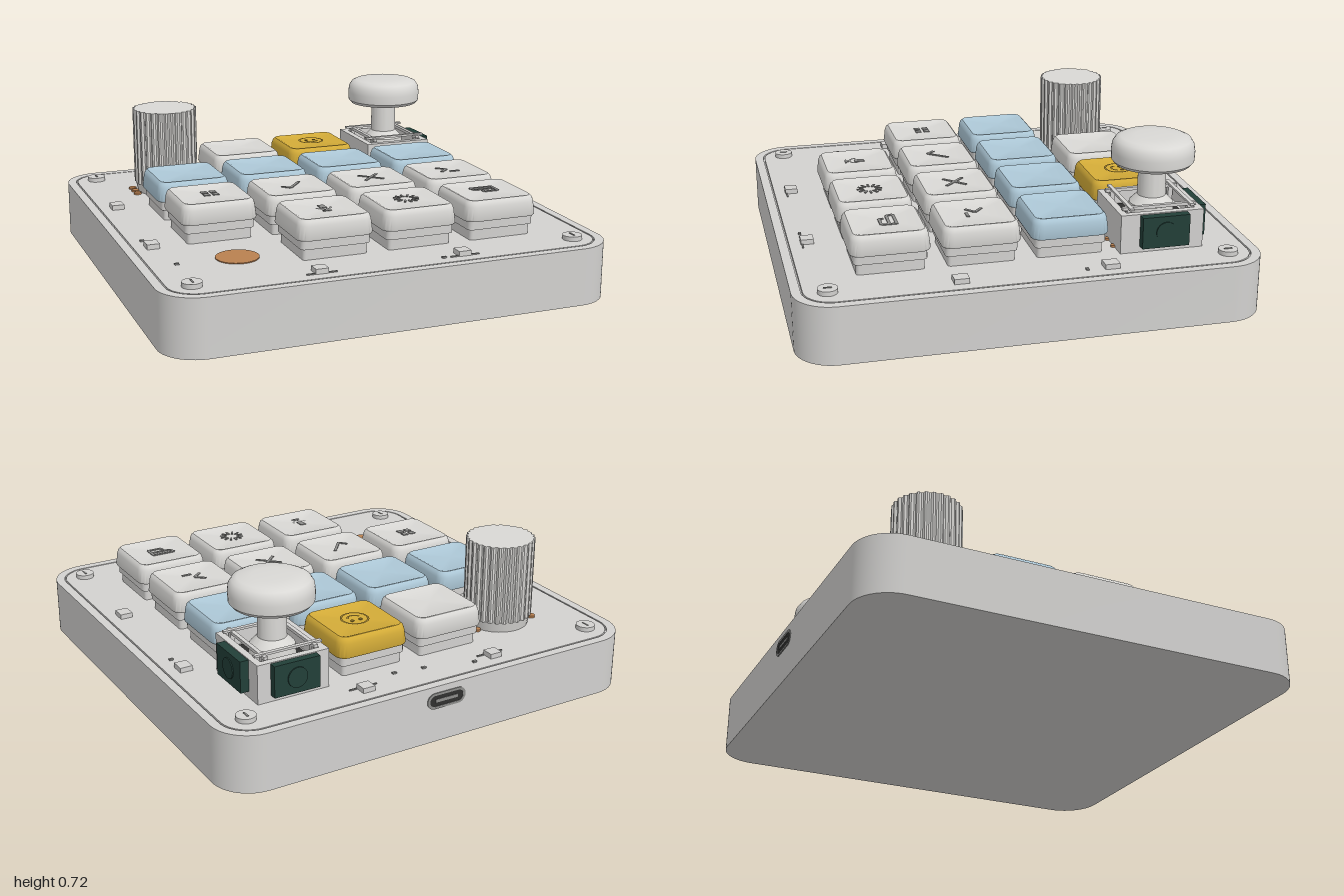
import * as THREE from 'three';
import { toCreasedNormals } from 'three/addons/utils/BufferGeometryUtils.js';

const mat = (name, color) => Object.assign(new THREE.MeshStandardMaterial({ color }), { name });

// Loft through rounded squares; each loop is [half size, corner radius, y]
function loft(loops, seg = 8) {
  const pos = [], idx = [], n = 4 * (seg + 1);
  for (const [h, r, y] of loops) {
    for (let c = 0; c < 4; c++) {
      const sx = c === 0 || c === 3 ? 1 : -1, sz = c < 2 ? 1 : -1;
      for (let i = 0; i <= seg; i++) {
        const a = (c + i / seg) * Math.PI / 2;
        pos.push(sx * (h - r) + r * Math.cos(a), y, sz * (h - r) + r * Math.sin(a));
      }
    }
  }
  const last = (loops.length - 1) * n, bottom = pos.length / 3, top = bottom + 1;
  pos.push(0, loops[0][2], 0, 0, loops[loops.length - 1][2], 0);
  for (let i = 0; i < n; i++) {
    const j = (i + 1) % n;
    for (let k = 0; k < last; k += n) idx.push(k + i, k + n + i, k + j, k + j, k + n + i, k + n + j);
    idx.push(bottom, i, j, top, last + j, last + i);
  }
  const g = new THREE.BufferGeometry();
  g.setAttribute('position', new THREE.Float32BufferAttribute(pos, 3));
  g.setIndex(idx);
  return toCreasedNormals(g, 0.6);
}

// Stadium outline for the port
function stadium(C, w, h) {
  const s = new C(), r = h / 2, d = w / 2 - r;
  s.absarc(d, 0, r, -Math.PI / 2, Math.PI / 2, false);
  s.absarc(-d, 0, r, Math.PI / 2, Math.PI * 1.5, false);
  s.closePath();
  return s;
}

export function createModel() {
  const model = new THREE.Group();
  model.name = 'macroPad';
  const M = {
    shell: mat('shell grey', 0xd2d1cf),
    cap: mat('keycap white', 0xd9d8d5),
    blue: mat('pale blue', 0xadc8d7),
    yellow: mat('golden yellow', 0xd4ac38),
    copper: mat('copper', 0xb98050),
    green: mat('dark green', 0x223f38),
    icon: mat('icon grey', 0x8c8c8a),
    gold: mat('icon gold', 0x94782a),
    dark: mat('port black', 0x30302f),
  };
  const add = (name, geo, m, x = 0, y = 0, z = 0, parent = model) => {
    const mesh = new THREE.Mesh(geo, m);
    mesh.name = name;
    mesh.position.set(x, y, z);
    parent.add(mesh);
    return mesh;
  };
  const group = (name, x, y, z) => {
    const g = new THREE.Group();
    g.name = name;
    g.position.set(x, y, z);
    model.add(g);
    return g;
  };
  const box = (name, w, h, d, m, x, y, z, p) => add(name, new THREE.BoxGeometry(w, h, d), m, x, y, z, p);
  const cyl = (name, r, h, m, x, y, z, p, r2 = r) => add(name, new THREE.CylinderGeometry(r, r2, h, 32), m, x, y, z, p);

  // Case with a fine groove around the top plate
  add('case', loft([[1, 0.17, 0], [1, 0.17, 0.255], [0.96, 0.13, 0.255], [0.96, 0.13, 0.24]], 14), M.shell);
  add('topPlate', loft([[0.953, 0.123, 0.235], [0.953, 0.123, 0.255]], 14), M.shell);

  // Corner screws
  for (const x of [-0.855, 0.855]) for (const z of [-0.855, 0.855]) {
    cyl('screw', 0.042, 0.02, M.shell, x, 0.265, z);
    box('screwSlot', 0.008, 0.004, 0.036, M.icon, x, 0.2755, z);
  }

  // Indicator lights around the border
  for (const s of [-1, 1]) for (const t of [-0.325, 0.315]) {
    box('light', 0.056, 0.022, 0.056, M.shell, t, 0.266, s * 0.875);
    box('sideLight', 0.056, 0.022, 0.064, M.shell, s * 0.876, 0.266, t);
    for (const e of [-1, 1]) box('lightLead', 0.036, 0.006, 0.007, M.icon, t + e * 0.048, 0.257, s * 0.875 + 0.022);
  }
  for (const [x, z] of [[0.0, -0.83], [0.135, -0.81], [-0.22, -0.89], [-0.84, 0.58], [-0.895, 0.22], [0.885, -0.22], [0.22, 0.895]])
    box('tinyComponent', 0.018, 0.008, 0.012, M.icon, x, 0.258, z);

  // Keys
  const capGeo = loft([[0.168, 0.045, 0.343], [0.171, 0.047, 0.35], [0.165, 0.045, 0.405], [0.16, 0.043, 0.422],
    [0.15, 0.036, 0.432], [0.143, 0.032, 0.432], [0.135, 0.03, 0.429]]);
  const flangeGeo = loft([[0.155, 0.02, 0.303], [0.155, 0.02, 0.345]], 3);
  const switchGeo = loft([[0.144, 0.015, 0.25], [0.144, 0.015, 0.305]], 3);
  const cols = [-0.578, -0.195, 0.19, 0.575], rows = [-0.58, -0.195, 0.19, 0.575];
  const addKey = (c, r, m) => {
    const g = group('key', cols[c], 0, rows[r]);
    add('keycap', capGeo, m, 0, 0, 0, g);
    add('switchTop', flangeGeo, M.shell, 0, 0, 0, g);
    add('switchBody', switchGeo, M.shell, 0, 0, 0, g);
    return g;
  };
  // Thin icon stroke from (x1, z1) to (x2, z2)
  const stroke = (g, x1, z1, x2, z2, w = 0.013) => {
    const dx = x2 - x1, dz = z2 - z1;
    const b = box('iconStroke', Math.hypot(dx, dz), 0.005, w, M.icon, (x1 + x2) / 2, 0.43, (z1 + z2) / 2, g);
    b.rotation.y = -Math.atan2(dz, dx);
  };
  const strokes = list => g => list.forEach(s => stroke(g, ...s));
  const arc = (g, r, tube, a0, len, m) => {
    const a = add('iconArc', new THREE.RingGeometry(r - tube, r + tube, 32, 1, a0, len), m, 0, 0.4315, 0, g);
    a.rotation.x = -Math.PI / 2;
  };

  const icons = {
    '0,2': g => {
      for (const x of [-0.02, 0.02]) for (const z of [-0.02, 0.02])
        box('iconSquare', 0.028, 0.005, 0.028, M.icon, x, 0.43, z, g);
    },
    '1,2': strokes([[-0.05, 0.008, -0.02, 0.042], [-0.02, 0.042, 0.05, -0.045]]),
    '2,2': strokes([[-0.045, -0.045, 0.045, 0.045], [-0.045, 0.045, 0.045, -0.045]]),
    '3,2': strokes([[-0.04, -0.04, 0, -0.005], [0, -0.005, -0.04, 0.03], [0.0, 0.035, 0.045, 0.035]]),
    '1,3': g => {
      stroke(g, 0, -0.035, 0, 0.01, 0.028);
      arc(g, 0.032, 0.005, Math.PI, Math.PI, M.icon);
      strokes([[0, 0.03, 0, 0.05], [-0.02, 0.05, 0.02, 0.05, 0.008]])(g);
    },
    '2,3': g => {
      for (let i = 0; i < 12; i++) {
        const c = Math.cos(i * Math.PI / 6), s = Math.sin(i * Math.PI / 6);
        stroke(g, 0.028 * c, 0.028 * s, 0.056 * c, 0.056 * s, 0.009);
      }
    },
    '3,3': strokes([[-0.055, -0.045, 0.055, -0.045], [-0.055, -0.045, -0.045, -0.015], [-0.045, -0.015, 0.05, -0.015],
      [0.05, -0.045, 0.05, 0.02], [-0.015, 0.02, 0.05, 0.02], [-0.015, 0.0, -0.015, 0.02]]),
  };
  for (let r = 0; r < 4; r++) for (let c = 0; c < 4; c++) {
    if ((r === 0 && (c === 0 || c === 3)) || (r === 3 && c === 0)) continue;
    const g = addKey(c, r, r === 1 ? M.blue : r === 0 && c === 2 ? M.yellow : M.cap);
    icons[`${c},${r}`]?.(g);
    if (r === 0 && c === 2) { // smiling face
      arc(g, 0.058, 0.005, 0, Math.PI * 2, M.gold);
      arc(g, 0.03, 0.005, Math.PI * 1.1, Math.PI * 0.8, M.gold);
      for (const x of [-0.02, 0.02]) cyl('iconEye', 0.008, 0.005, M.gold, x, 0.43, -0.015, g);
    }
  }

  // Touch pad
  cyl('touchPad', 0.093, 0.006, M.copper, -0.578, 0.256, 0.575);

  // Fluted knob
  const knob = group('knob', -0.568, 0, -0.58);
  const flutes = new THREE.Shape(), teeth = 28;
  for (let i = 0; i < teeth * 4; i++) {
    const a = i / (teeth * 4) * Math.PI * 2, r = i % 4 < 2 ? 0.153 : 0.144;
    flutes[i ? 'lineTo' : 'moveTo'](r * Math.cos(a), r * Math.sin(a));
  }
  flutes.closePath();
  add('knobGrip', new THREE.ExtrudeGeometry(flutes, { depth: 0.36, bevelEnabled: false }), M.cap, 0, 0.3, 0, knob).rotation.x = -Math.PI / 2;
  cyl('knobSkirt', 0.148, 0.05, M.cap, 0, 0.277, 0, knob, 0.138);
  for (const [x, z] of [[-0.157, -0.05], [-0.157, 0], [-0.157, 0.05], [0.148, -0.05], [0.148, 0.05]])
    cyl('knobPin', 0.018, 0.012, M.copper, x, 0.258, z, knob);

  // Thumb stick: open-topped housing, side sensors, stem and mushroom cap
  const stick = group('thumbStick', 0.595, 0, -0.59);
  box('stickBase', 0.33, 0.11, 0.37, M.shell, 0, 0.31, 0, stick);
  box('stickCavity', 0.25, 0.006, 0.28, M.dark, 0, 0.367, 0, stick);
  for (const s of [-1, 1]) {
    box('stickWall', 0.03, 0.065, 0.37, M.shell, s * 0.15, 0.395, 0, stick);
    box('stickEndWall', 0.27, 0.065, 0.03, M.shell, 0, 0.395, s * 0.17, stick);
    box('stickRail', 0.018, 0.014, 0.33, M.shell, s * 0.115, 0.44, 0, stick);
    box('stickCrossRail', 0.31, 0.01, 0.018, M.shell, 0, 0.447, s * 0.135, stick);
    for (const t of [-1, 1]) box('stickPost', 0.02, 0.08, 0.02, M.shell, s * 0.115, 0.405, t * 0.135, stick);
  }
  box('sideSensor', 0.04, 0.14, 0.21, M.green, 0.183, 0.353, -0.005, stick);
  const disc = cyl('sensorDisc', 0.045, 0.008, M.green, 0.204, 0.353, -0.005, stick);
  disc.rotation.z = Math.PI / 2;
  box('backSensor', 0.21, 0.14, 0.035, M.green, 0, 0.353, -0.2, stick);
  cyl('backSensorDisc', 0.045, 0.008, M.green, 0, 0.353, -0.219, stick).rotation.x = Math.PI / 2;
  for (const z of [-0.06, -0.01, 0.04]) cyl('stickPin', 0.016, 0.012, M.copper, -0.175, 0.258, z, stick);
  for (const x of [-0.08, 0, 0.08]) cyl('stickFrontPin', 0.013, 0.012, M.copper, x, 0.258, 0.187, stick);
  const profile = [[0, 0.37], [0.1, 0.37], [0.095, 0.42], [0.062, 0.455], [0.06, 0.585], [0.075, 0.6], [0.165, 0.6],
    [0.178, 0.615], [0.18, 0.655], [0.176, 0.685], [0.162, 0.707], [0.14, 0.717], [0.08, 0.721], [0, 0.722]];
  add('stickCap', toCreasedNormals(new THREE.LatheGeometry(profile.map(p => new THREE.Vector2(...p)), 48), 0.6), M.cap, 0, 0, -0.005, stick);

  // Port in the back wall
  const port = group('port', 0, 0.19, -1);
  const rim = stadium(THREE.Shape, 0.19, 0.072);
  rim.holes.push(stadium(THREE.Path, 0.165, 0.05));
  add('portRim', new THREE.ExtrudeGeometry(rim, { depth: 0.006, bevelEnabled: false }), M.icon, 0, 0, -0.004, port);
  add('portOpening', new THREE.ExtrudeGeometry(stadium(THREE.Shape, 0.166, 0.051), { depth: 0.004, bevelEnabled: false }), M.dark, 0, 0, -0.002, port);
  box('portTongue', 0.11, 0.014, 0.005, M.icon, 0, 0, -0.0015, port);

  return model;
}
